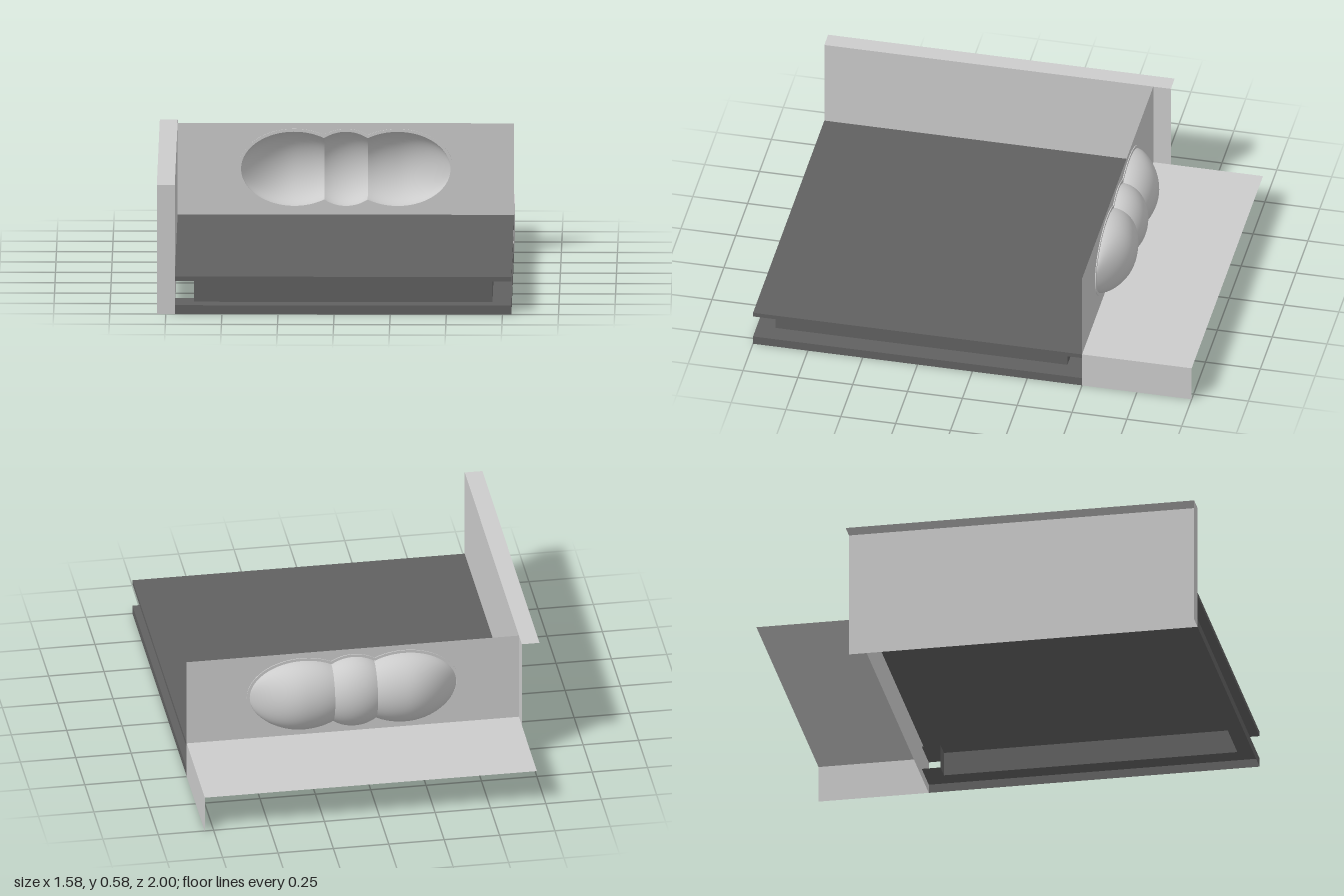
import * as THREE from 'three';

const grey = new THREE.MeshStandardMaterial({ color: 0xcccccc, side: THREE.DoubleSide });
const dark = new THREE.MeshStandardMaterial({ color: 0x616161, side: THREE.DoubleSide });

// main extents: platform left/right edge, back panel, ledge height, wall top
const X0 = -0.71, X1 = 0.79, ZB = -0.5, H = 0.17, TOP = 0.585;
const INSET = 0.085, LOW = 0.04, HIGH = 0.15;

// flat axis-aligned sheet; exactly one of the ranges has zero length
function sheet(name, material, x0, x1, y0, y1, z0, z1) {
  const w = x1 - x0, h = y1 - y0, d = z1 - z0;
  let g;
  if (w === 0) g = new THREE.PlaneGeometry(d, h).rotateY(Math.PI / 2);
  else if (h === 0) g = new THREE.PlaneGeometry(w, d).rotateX(-Math.PI / 2);
  else g = new THREE.PlaneGeometry(w, h);
  const mesh = new THREE.Mesh(g, material);
  mesh.name = name;
  mesh.position.set((x0 + x1) / 2, (y0 + y1) / 2, (z0 + z1) / 2);
  return mesh;
}

// three overlapping rounded lobes: centre, half length, and extent along x
const CY = 0.378, RY = 0.168, DEPTH = 0.135;
const lobes = [
  { c: -0.19, a: 0.237, from: -0.427, to: -0.056 },
  { c: 0.04, a: 0.172, from: -0.056, to: 0.137 },
  { c: 0.27, a: 0.236, from: 0.137, to: 0.506 },
];

// scalloped outline around the lobes, optionally grown by an offset
function outline(offset = 0) {
  const n = 120, x0 = -0.427 - offset, x1 = 0.506 + offset, upper = [];
  for (let i = 0; i <= n; i++) {
    const x = (x0 + x1) / 2 - (x1 - x0) / 2 * Math.cos(Math.PI * i / n);
    const h = Math.max(...lobes.map(l =>
      Math.sqrt(Math.max(0, 1 - ((x - l.c) / (l.a + offset)) ** 2))));
    upper.push(new THREE.Vector2(x, (RY + offset) * h));
  }
  const lower = upper.slice(1, -1).reverse().map(p => new THREE.Vector2(p.x, CY - p.y));
  return [...upper.map(p => new THREE.Vector2(p.x, CY + p.y)), ...lower];
}

// half-round lobe swept about the x axis, tapering in depth at the outer ends
function lobeGeometry(l, i) {
  const points = [], n = 28;
  const t0 = Math.acos(THREE.MathUtils.clamp((l.from - l.c) / l.a, -1, 1));
  const t1 = Math.acos(THREE.MathUtils.clamp((l.to - l.c) / l.a, -1, 1));
  for (let k = 0; k <= n; k++) {
    const t = t0 + (t1 - t0) * k / n;
    points.push(new THREE.Vector2(RY * Math.sin(t), l.c + l.a * Math.cos(t)));
  }
  const g = new THREE.LatheGeometry(points, 32, Math.PI / 2, Math.PI).rotateZ(-Math.PI / 2);
  const p = g.attributes.position;
  for (let k = 0; k < p.count; k++) {
    const u = (p.getX(k) - l.c) / l.a;
    const outer = (i === 0 && u < 0) || (i === 2 && u > 0);
    const taper = outer ? Math.sqrt(Math.max(0, 1 - u * u)) : 1;
    p.setZ(k, p.getZ(k) * DEPTH / RY * taper);
  }
  g.computeVertexNormals();
  return g;
}

export function createModel() {
  const model = new THREE.Group();
  model.name = 'platformSection';

  // platform with a recessed band along the front and one side
  const platform = new THREE.Group();
  platform.name = 'platform';
  platform.add(sheet('platformTop', dark, X0, X1, H, H, ZB, 1));
  for (const [name, y0, y1, shelfY] of [['upperTrim', HIGH, H, HIGH], ['lowerTrim', 0, LOW, LOW]]) {
    platform.add(
      sheet(name + 'Front', dark, X0, X1, y0, y1, 1, 1),
      sheet(name + 'Side', dark, X1, X1, y0, y1, ZB, 1),
      sheet(name + 'FrontShelf', dark, X0, X1, shelfY, shelfY, 1 - INSET, 1),
      sheet(name + 'SideShelf', dark, X1 - INSET, X1, shelfY, shelfY, ZB, 1 - INSET),
      sheet(name + 'FrontReturn', dark, X0, X0 + INSET, shelfY, shelfY, 1 - 2 * INSET, 1 - INSET),
      sheet(name + 'BackReturn', dark, X1 - 2 * INSET, X1 - INSET, shelfY, shelfY, ZB, ZB + INSET));
  }
  platform.add(
    sheet('recessFront', dark, X0 + INSET, X1 - INSET, LOW, HIGH, 1 - INSET, 1 - INSET),
    sheet('recessSide', dark, X1 - INSET, X1 - INSET, LOW, HIGH, ZB + INSET, 1 - INSET),
    sheet('recessFrontReturn', dark, X0 + INSET, X0 + INSET, LOW, HIGH, 1 - 2 * INSET, 1 - INSET),
    sheet('recessBackReturn', dark, X1 - 2 * INSET, X1 - INSET, LOW, HIGH, ZB + INSET, ZB + INSET));
  model.add(platform);

  // side wall: inner face, top cap and front end
  const wall = new THREE.Group();
  wall.name = 'sideWall';
  wall.add(
    sheet('wallInnerFace', grey, X0, X0, 0, TOP, -0.58, 1),
    sheet('wallTop', grey, -X1, X0, TOP, TOP, -0.58, 1),
    sheet('wallFrontEnd', grey, -X1, X0, 0, TOP, 1, 1));
  model.add(wall);

  // rear ledge
  const ledge = new THREE.Group();
  ledge.name = 'rearLedge';
  ledge.add(
    sheet('ledgeTop', grey, X0, X1, H, H, -1, ZB),
    sheet('ledgeSide', grey, X1, X1, 0, H, -1, ZB));
  model.add(ledge);

  // back panel with the scalloped opening
  const panelShape = new THREE.Shape([
    new THREE.Vector2(X0, 0), new THREE.Vector2(X1, 0),
    new THREE.Vector2(X1, TOP), new THREE.Vector2(X0, TOP)]);
  panelShape.holes.push(new THREE.Path(outline()));
  const panel = new THREE.Mesh(new THREE.ShapeGeometry(panelShape), grey);
  panel.name = 'backPanel';
  panel.position.z = ZB;
  model.add(panel);

  // thin raised rim around the opening
  const rimShape = new THREE.Shape(outline(0.013));
  rimShape.holes.push(new THREE.Path(outline()));
  const rim = new THREE.Mesh(
    new THREE.ExtrudeGeometry(rimShape, { depth: 0.008, bevelEnabled: false }), grey);
  rim.name = 'nicheRim';
  rim.position.z = ZB - 0.004;
  model.add(rim);

  // hollow niche behind the opening
  const niche = new THREE.Group();
  niche.name = 'niche';
  lobes.forEach((l, i) => {
    const mesh = new THREE.Mesh(lobeGeometry(l, i), grey);
    mesh.name = ['rightLobe', 'middleLobe', 'leftLobe'][i];
    mesh.position.set(0, CY, ZB);
    niche.add(mesh);
  });
  model.add(niche);

  return model;
}
